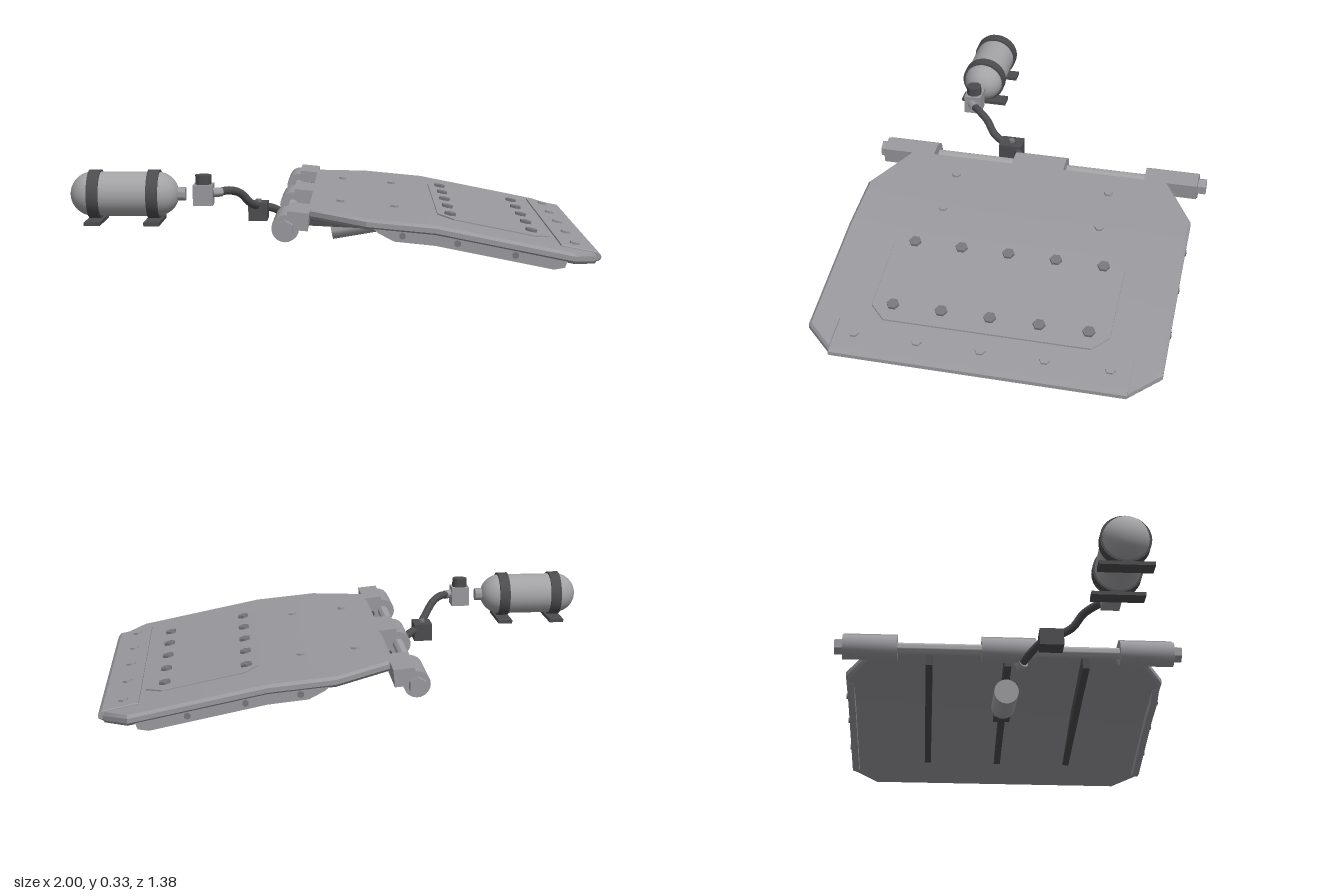
import * as THREE from 'three';
import { toCreasedNormals } from 'three/addons/utils/BufferGeometryUtils.js';

const BEND = 0.38;
// height of the panel's top surface, with a slight bend across the middle
const top = x => (x < BEND ? 0.216 - 0.095 * x : 0.18 - 0.2 * (x - BEND));
const tilt = x => Math.atan(x < BEND ? -0.095 : -0.2);

export function createModel() {
  const model = new THREE.Group();
  model.name = 'hingedPanel';
  const mat = (name, color) => {
    const m = new THREE.MeshStandardMaterial({ color });
    m.name = name;
    return m;
  };
  const steel = mat('steel', 0x99999e);
  const pale = mat('paleSteel', 0xa3a3a6);
  const dark = mat('darkMetal', 0x4c4c4f);
  const boltGrey = mat('boltGrey', 0x77777b);

  const add = (name, geo, material, x = 0, y = 0, z = 0, parent = model) => {
    const m = new THREE.Mesh(geo, material);
    m.name = name;
    m.position.set(x, y, z);
    parent.add(m);
    return m;
  };
  const box = (name, w, h, d, material, x, y, z) =>
    add(name, new THREE.BoxGeometry(w, h, d), material, x, y, z);
  const cyl = (r, h, sides = 24) => toCreasedNormals(new THREE.CylinderGeometry(r, r, h, sides), 0.6);
  // cylinder between two points
  const rod = (name, a, b, r, material, sides) => {
    const p = new THREE.Vector3(...a), q = new THREE.Vector3(...b);
    const m = add(name, cyl(r, p.distanceTo(q), sides), material);
    m.position.copy(p).lerp(q, 0.5);
    m.quaternion.setFromUnitVectors(new THREE.Vector3(0, 1, 0), q.clone().sub(p).normalize());
    return m;
  };

  // slab lofted along x from stations [x, half width, vertical inset], following the panel surface
  const slab = (name, stations, up, down, c, material) => {
    const rings = stations.map(([x, w, inset = 0]) => {
      const t = top(x) + up - inset, b = top(x) - down + inset;
      return [[-w + c, t], [-w, t - c], [-w, b + c], [-w + c, b], [w - c, b], [w, b + c], [w, t - c], [w - c, t]]
        .map(([z, y]) => [x, y, z]);
    });
    const pos = [];
    const tri = (...p) => p.forEach(v => pos.push(...v));
    for (let i = 0; i < rings.length - 1; i++) {
      for (let k = 0; k < 8; k++) {
        const n = (k + 1) % 8, r = rings[i], s = rings[i + 1];
        tri(r[k], s[k], s[n]);
        tri(r[k], s[n], r[n]);
      }
    }
    const first = rings[0], last = rings[rings.length - 1];
    for (let k = 1; k < 7; k++) {
      tri(first[0], first[k], first[k + 1]);
      tri(last[0], last[k + 1], last[k]);
    }
    const g = new THREE.BufferGeometry();
    g.setAttribute('position', new THREE.Float32BufferAttribute(pos, 3));
    return add(name, toCreasedNormals(g, 0.4), material);
  };

  // main panel, cover patch and front lip
  slab('panel', [[-0.095, 0.525, 0.01], [-0.083, 0.54], [0.13, 0.66], [BEND, 0.66],
    [0.885, 0.66], [0.975, 0.56], [0.985, 0.545, 0.01]], 0, 0.04, 0.011, steel);
  slab('coverPatch', [[0.4, 0.39], [0.46, 0.45], [0.77, 0.45], [0.83, 0.39]], 0.006, 0.008, 0.001, steel);
  slab('frontLip', [[0.85, 0.55], [0.985, 0.55], [0.998, 0.55, 0.011]], 0.007, 0.03, 0.004, steel);

  // bolts on the top surface
  const bolt = (x, z, r, lift, material) => {
    const m = add('topBolt', cyl(r, 0.016, 6), material, x, top(x) + lift, z);
    m.rotation.z = tilt(x);
  };
  for (const x of [0.03, 0.24]) for (const z of [-0.315, 0.315]) bolt(x, z, 0.018, 0, steel);
  for (const x of [0.45, 0.76]) for (const z of [-0.37, -0.185, 0, 0.185, 0.37]) bolt(x, z, 0.024, 0.008, boltGrey);
  for (const z of [-0.475, -0.2375, 0, 0.2375, 0.475]) bolt(0.91, z, 0.02, 0.007, steel);

  // plate cut in the x-y plane and centred on z
  const profile = (name, pts, depth, z, material) => {
    const g = new THREE.ExtrudeGeometry(new THREE.Shape(pts.map(p => new THREE.Vector2(...p))),
      { depth, bevelEnabled: false });
    g.translate(0, 0, -depth / 2);
    return add(name, g, material, 0, 0, z);
  };
  const below = (x, d) => [x, top(x) - d];

  // side rails with their bolts
  for (const s of [-1, 1]) {
    profile('sideRail', [below(0.15, 0.03), below(0.17, 0.048), below(0.23, 0.074), below(BEND, 0.075),
      below(0.81, 0.075), below(0.85, 0.06), below(0.86, 0.03), below(BEND, 0.03)], 0.028, s * 0.64, steel);
    for (const x of [0.26, 0.46, 0.67]) {
      add('railBolt', cyl(0.013, 0.012, 6), boltGrey, x, top(x) - 0.05, s * 0.655).rotation.x = Math.PI / 2;
    }
  }

  // tapered ribs under the panel
  for (const z of [-0.315, 0, 0.315]) {
    profile('rib', [[-0.112, 0.195], [-0.112, 0.122], [0.1, 0.112], below(0.8, 0.041),
      below(BEND, 0.03), below(-0.08, 0.03)], 0.028, z, dark);
  }

  // hinge pin, end nuts and knuckles
  const HX = -0.165, HY = 0.167;
  rod('hingePin', [HX, HY, -0.67], [HX, HY, 0.67], 0.022, pale);
  for (const s of [-1, 1]) rod('pinNut', [HX, HY, s * 0.65], [HX, HY, s * 0.69], 0.034, steel, 6);
  for (const z of [-0.55, 0, 0.55]) {
    rod('hingeKnuckle', [HX, HY, z - 0.108], [HX, HY, z + 0.108], 0.05, steel, 20);
    box('hingeLeaf', 0.08, 0.066, 0.216, steel, -0.12, 0.194, z).rotation.z = -0.095;
  }

  // actuator below the middle rib
  rod('actuatorBody', [-0.012, 0.058, 0], [0.26, 0.105, 0], 0.05, pale, 32);
  rod('actuatorRod', [0.25, 0.103, 0], [0.38, 0.127, 0], 0.02, dark);
  box('actuatorBracket', 0.06, 0.05, 0.07, dark, 0.38, 0.125, 0);

  // gas tank with two mounting straps
  const TY = 0.25, TZ = 0.37;
  add('tank', new THREE.CapsuleGeometry(0.085, 0.245, 12, 32), pale, -0.793, TY, TZ).rotation.z = Math.PI / 2;
  rod('tankNeck', [-0.6, TY, TZ], [-0.56, TY, TZ], 0.026, steel);
  for (const x of [-0.905, -0.68]) {
    rod('tankStrap', [x - 0.022, TY, TZ], [x + 0.022, TY, TZ], 0.093, dark, 32);
    box('strapFoot', 0.06, 0.014, 0.2, dark, x, 0.148, TZ);
  }

  // valve block with cap and outlet
  box('valveBlock', 0.075, 0.08, 0.072, steel, -0.492, 0.248, TZ);
  add('valveCap', cyl(0.031, 0.038), dark, -0.492, 0.305, TZ);
  rod('valveOutlet', [-0.46, 0.255, 0.375], [-0.425, 0.255, 0.352], 0.018, steel);

  // hoses and junction block
  const hose = (name, pts) => add(name, new THREE.TubeGeometry(
    new THREE.CatmullRomCurve3(pts.map(p => new THREE.Vector3(...p))), 32, 0.016, 12), dark);
  hose('supplyHose', [[-0.44, 0.255, 0.362], [-0.4, 0.257, 0.325], [-0.36, 0.24, 0.28],
    [-0.325, 0.197, 0.24], [-0.3, 0.175, 0.19]]);
  box('junctionBlock', 0.075, 0.07, 0.095, dark, -0.298, 0.152, 0.158);
  add('junctionBolt', cyl(0.013, 0.016, 6), boltGrey, -0.298, 0.19, 0.158);
  hose('actuatorHose', [[-0.28, 0.165, 0.135], [-0.245, 0.155, 0.11], [-0.2, 0.13, 0.075], [-0.145, 0.115, 0.05]]);
  rod('hoseEnd', [-0.165, 0.118, 0.06], [-0.135, 0.112, 0.045], 0.02, steel);

  return model;
}
